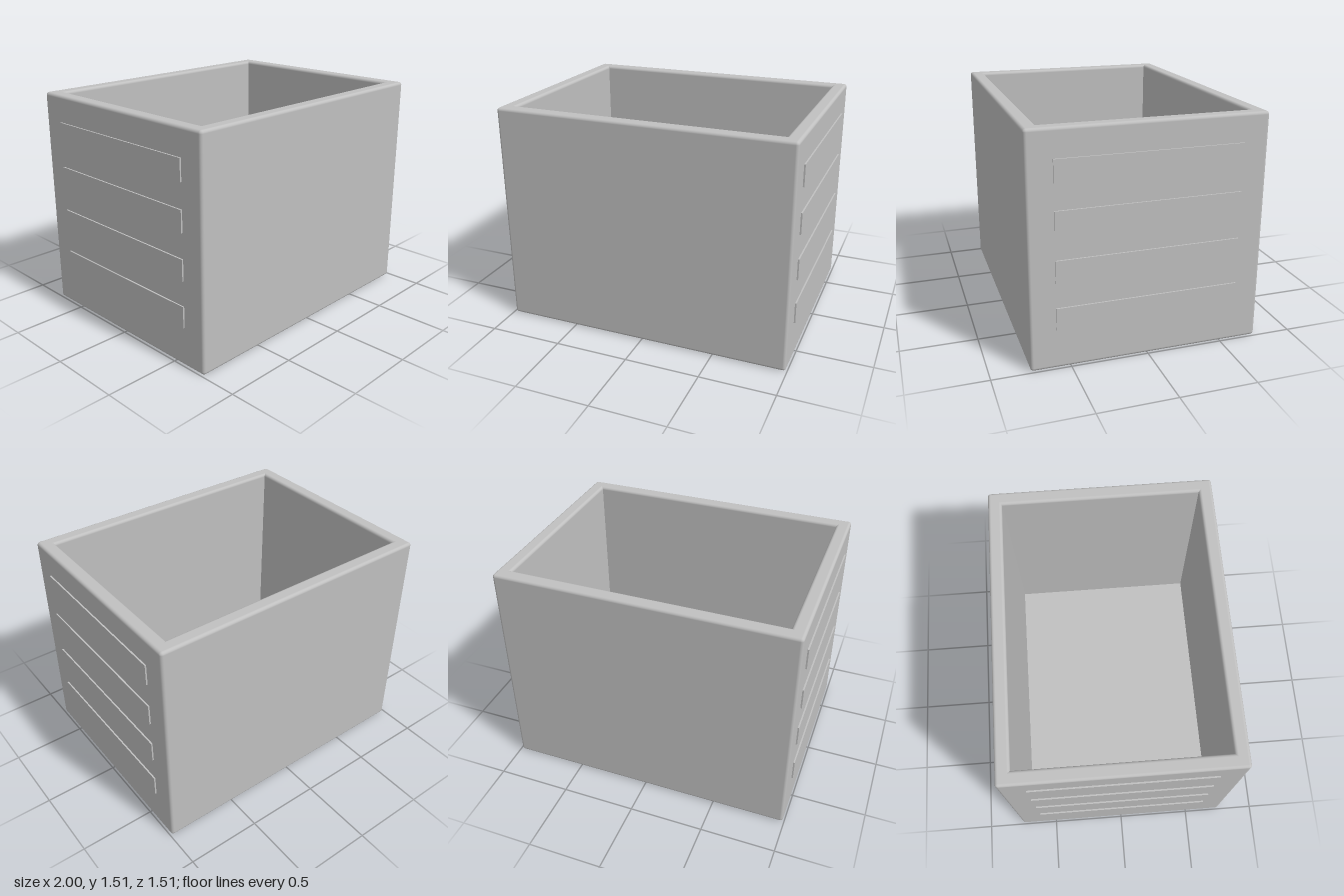
import * as THREE from 'three';
import { RoundedBoxGeometry } from 'three/addons/geometries/RoundedBoxGeometry.js';

const WIDTH = 1.98, HEIGHT = 1.507, DEPTH = 1.507;
const WALL = 0.093, FLOOR = 0.115, EDGE = 0.02;

export function createModel() {
  const grey = new THREE.MeshStandardMaterial({ color: 0xc0c0c0 });
  grey.name = 'light grey';
  const model = new THREE.Group();
  model.name = 'openBox';

  const add = (name, geometry, x, y, z) => {
    const mesh = new THREE.Mesh(geometry, grey);
    mesh.name = name;
    mesh.position.set(x, y, z);
    model.add(mesh);
  };
  const rounded = (w, h, d) => new RoundedBoxGeometry(w, h, d, 3, EDGE);

  // Floor slab
  add('floor', rounded(WIDTH, FLOOR, DEPTH), 0, FLOOR / 2, 0);

  // Four walls with softened edges, overlapping at the corners
  for (const s of [1, -1]) {
    add(s > 0 ? 'frontWall' : 'backWall', rounded(WIDTH, HEIGHT, WALL),
      0, HEIGHT / 2, s * (DEPTH - WALL) / 2);
    add(s > 0 ? 'leftWall' : 'rightWall', rounded(WALL, HEIGHT, DEPTH),
      s * (WIDTH - WALL) / 2, HEIGHT / 2, 0);

    // Four raised slats on each side wall
    for (let i = 0; i < 4; i++) {
      add((s > 0 ? 'leftSlat' : 'rightSlat') + (i + 1),
        new THREE.BoxGeometry(0.03, 0.142, 1.18),
        s * 0.985, 0.334 + i * 0.3073, 0);
    }
  }
  return model;
}
